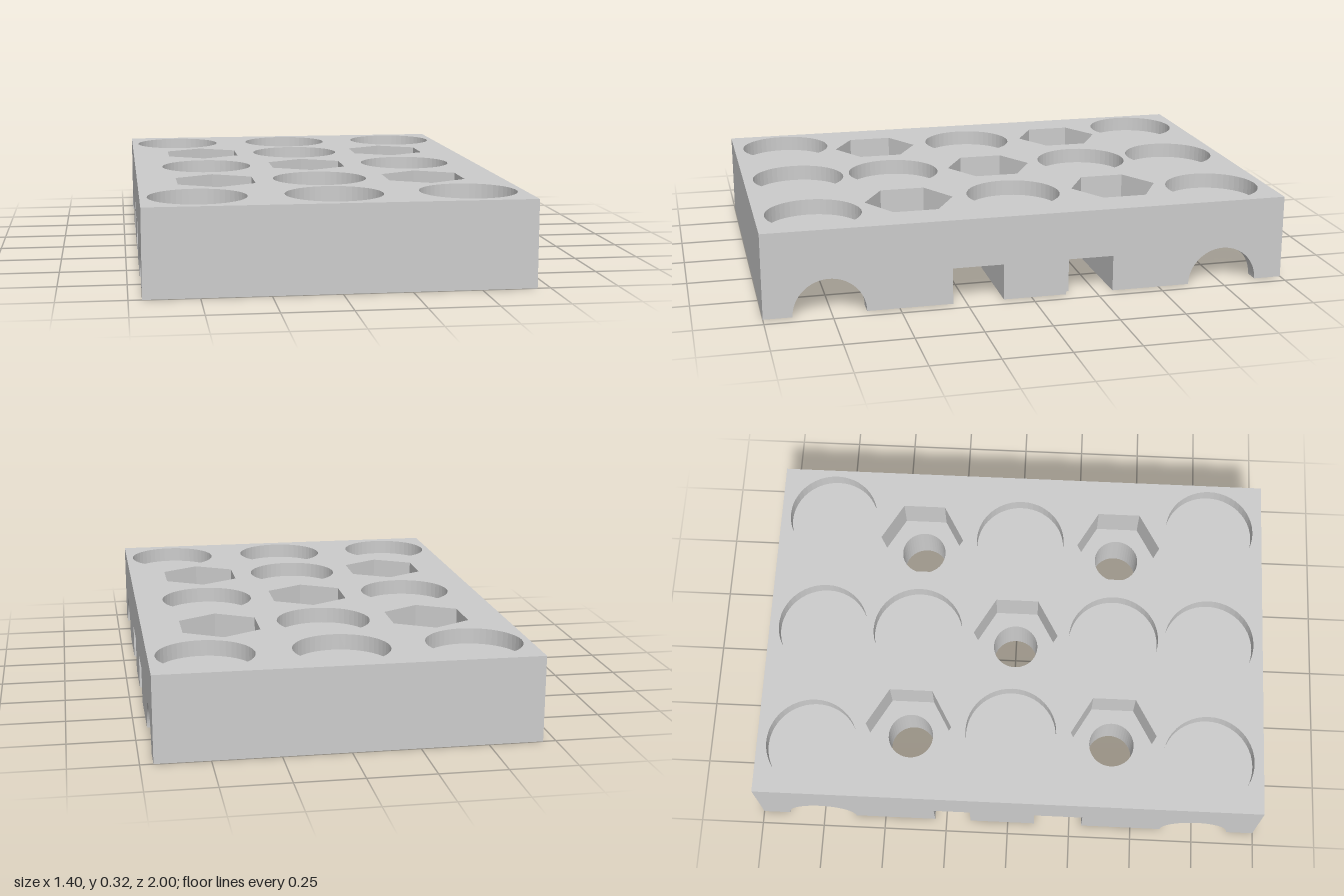
import * as THREE from 'three';

const W = 0.702, L = 1, H = 0.323;          // half width, half length, height
const POCKET_Y = 0.263, ARCH_Y = 0.22, HEX_Y = 0.175, SLOT_Y = 0.138;
const BORE = 0.09;
const RIB_Z = 0.53, STEP_Z = 0.58;          // where the channel blocks begin, low and high
const bolts = [[-0.405, -0.407], [0.405, -0.407], [0, 0], [-0.405, 0.407], [0.405, 0.407]];
const pockets = [[-0.413, 0], [0.413, 0], [0, -0.397], [0, 0.397]];
for (const z of [-0.783, 0.783]) for (const x of [-0.495, 0, 0.495]) pockets.push([x, z]);

const material = new THREE.MeshStandardMaterial({ color: 0xcccccc });

// hole outline on the plan (shape y is -z)
function circle([x, z], r) {
  const p = new THREE.Path();
  p.absarc(x, -z, r, 0, Math.PI * 2, false);
  return p;
}

function hexagon([x, z]) {
  const pts = [];
  for (let i = 0; i < 6; i++) {
    const a = Math.PI / 6 + i * Math.PI / 3;
    pts.push(new THREE.Vector2(x + 0.17 * Math.cos(a), -z + 0.17 * Math.sin(a)));
  }
  return new THREE.Path(pts);
}

function extrude(name, shape, depth) {
  const geo = new THREE.ExtrudeGeometry(shape, { depth, bevelEnabled: false, curveSegments: 24 });
  const mesh = new THREE.Mesh(geo, material);
  mesh.name = name;
  return mesh;
}

// plan outline raised from y0 to y1
function slab(name, points, holes, y0, y1) {
  const shape = new THREE.Shape(points.map(([x, z]) => new THREE.Vector2(x, -z)));
  shape.holes.push(...holes);
  const mesh = extrude(name, shape, y1 - y0);
  mesh.geometry.rotateX(-Math.PI / 2).translate(0, y0, 0);
  return mesh;
}

const rect = (z0, z1) => [[-W, z1], [W, z1], [W, z0], [-W, z0]];

// stepped section with an arch cut from below, run along x from x0 to x1
function arch(name, side, r, x0, x1) {
  const c = side * 0.757;
  const s = new THREE.Shape();
  s.moveTo(side * RIB_Z, 0);
  s.lineTo(c - side * r, 0);
  s.absarc(c, 0, r, side > 0 ? Math.PI : 0, side > 0 ? 0 : Math.PI, side > 0);
  s.lineTo(side * L, 0);
  s.lineTo(side * L, ARCH_Y);
  s.lineTo(side * STEP_Z, ARCH_Y);
  s.lineTo(side * STEP_Z, HEX_Y);
  s.lineTo(side * RIB_Z, HEX_Y);
  const mesh = extrude(name, s, x1 - x0);
  mesh.geometry.rotateY(Math.PI / 2).translate(x0, 0, 0);
  return mesh;
}

export function createModel() {
  const group = new THREE.Group();
  group.name = 'carriagePlate';
  const traps = () => bolts.map(hexagon);
  const bores = list => list.map(b => circle(b, BORE));

  // top layers: round pockets over hexagonal nut traps
  group.add(slab('pocketLayer', rect(-L, L),
    [...pockets.map(p => circle(p, 0.18)), ...traps()], POCKET_Y, H));
  group.add(slab('pocketFloor', rect(-L, L), traps(), ARCH_Y, POCKET_Y));
  group.add(slab('nutTrapLayer', rect(-STEP_Z, STEP_Z), traps(), HEX_Y, ARCH_Y));
  group.add(slab('slotCeiling', rect(-RIB_Z, RIB_Z), bores(bolts), SLOT_Y, HEX_Y));

  // bearing channels with narrower lips at both ends
  const lip = 0.06;
  for (const side of [1, -1]) {
    group.add(arch('bearingChannel', side, 0.208, -W + lip, W - lip));
    group.add(arch('channelLip', side, 0.136, -W, -W + lip));
    group.add(arch('channelLip', side, 0.136, W - lip, W));
  }

  // lower ribs left between the belt slots
  group.add(slab('frontRib', rect(0.3, RIB_Z), bores(bolts.slice(3)), 0, SLOT_Y));
  group.add(slab('backRib', [[-W, -0.297], [W, -0.317], [W, -RIB_Z], [-W, -RIB_Z]],
    bores(bolts.slice(0, 2)), 0, SLOT_Y));

  // middle rib with belt teeth along its back wall
  const outline = [[-W, 0.107], [W, 0.107]];
  const teeth = 21, pitch = 2 * W / teeth;
  for (let i = 0; i < teeth; i++) {
    const x = W - i * pitch;
    outline.push([x, -0.133], [x - pitch * 0.45, -0.133],
      [x - pitch * 0.45, -0.152], [x - pitch, -0.152]);
  }
  group.add(slab('toothedRib', outline, bores([bolts[2]]), 0, SLOT_Y));

  return group;
}
